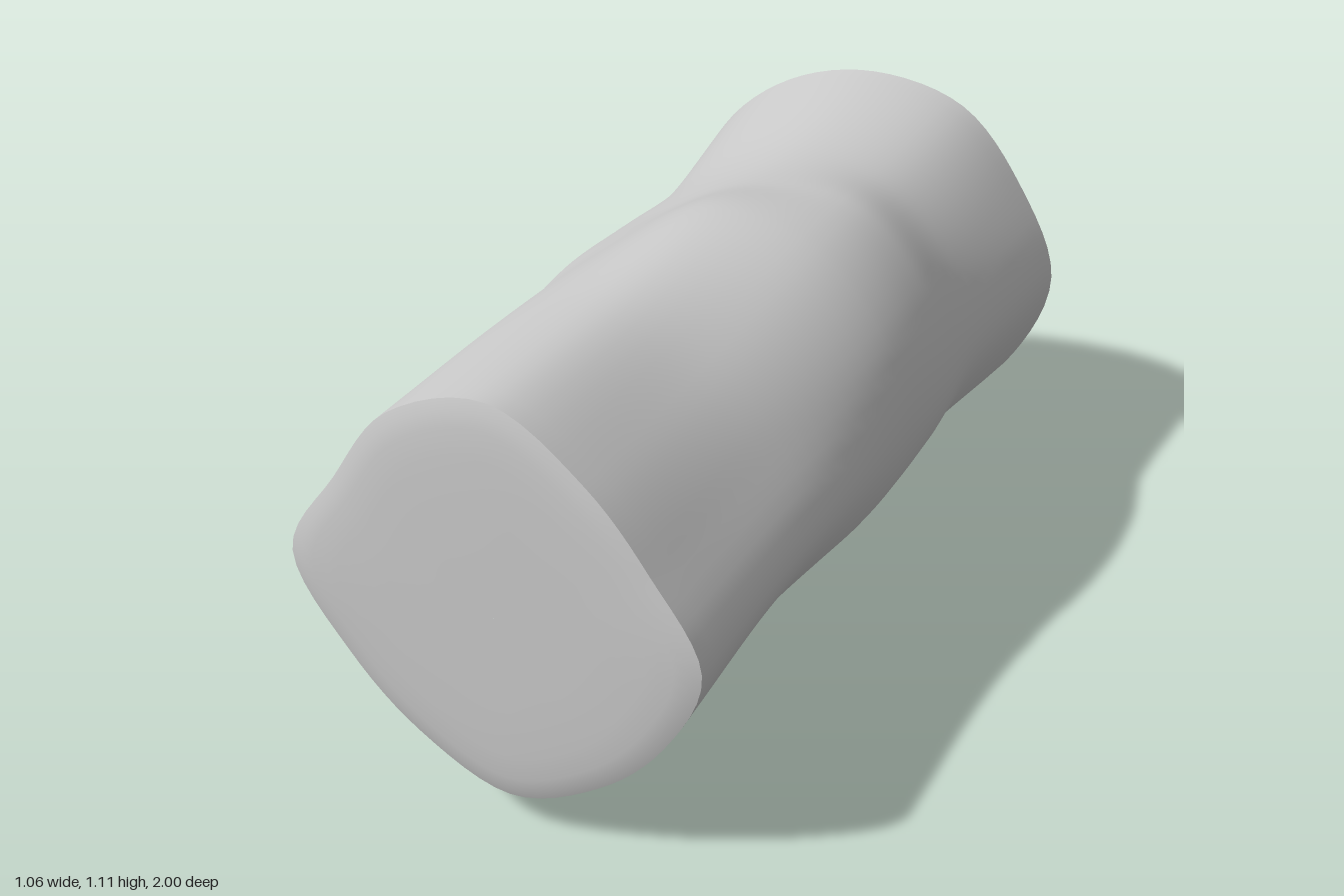
import * as THREE from 'three';

// Distance from the axis every 30 degrees (counter-clockwise from +x), per station along z
const SECTIONS = [
  [0.98, [0.47, 0.41, 0.43, 0.505, 0.485, 0.45, 0.52, 0.455, 0.45, 0.485, 0.445, 0.44]],
  [0.5, [0.47, 0.42, 0.43, 0.49, 0.48, 0.43, 0.48, 0.42, 0.45, 0.49, 0.45, 0.42]],
  [0, [0.50, 0.52, 0.535, 0.515, 0.45, 0.48, 0.53, 0.46, 0.46, 0.50, 0.45, 0.47]],
  [-0.25, [0.51, 0.52, 0.53, 0.47, 0.43, 0.47, 0.53, 0.48, 0.49, 0.54, 0.47, 0.47]],
  [-0.5, [0.495, 0.48, 0.48, 0.455, 0.43, 0.45, 0.50, 0.47, 0.48, 0.525, 0.47, 0.46]],
  [-0.98, [0.53, 0.49, 0.505, 0.49, 0.49, 0.51, 0.53, 0.48, 0.48, 0.595, 0.52, 0.51]],
];
const AXIS_Y = 0.6;
const SIDES = 72;
const STEPS = 48;

// Skin a list of closed rings, running from front to back
function loft(rings) {
  const positions = [];
  const indices = [];
  rings.forEach((ring) => ring.forEach((p) => positions.push(p.x, p.y, p.z)));
  for (let i = 0; i < rings.length - 1; i++) {
    for (let j = 0; j < SIDES; j++) {
      const k = (j + 1) % SIDES;
      const a = i * SIDES + j, d = i * SIDES + k;
      const b = a + SIDES, c = d + SIDES;
      indices.push(a, b, d, b, c, d);
    }
  }
  const geometry = new THREE.BufferGeometry();
  geometry.setAttribute('position', new THREE.Float32BufferAttribute(positions, 3));
  geometry.setIndex(indices);
  geometry.computeVertexNormals();
  return geometry;
}

// Gently domed end closing a rim ring, listed from the rim to the centre
function domeRings(rim) {
  const sign = Math.sign(rim[0].z);
  const profile = [[1, 0.98], [0.95, 0.988], [0.88, 0.994], [0.75, 0.998], [0.5, 1], [0.001, 1]];
  return profile.map(([s, z]) => rim.map((p) =>
    new THREE.Vector3(p.x * s, AXIS_Y + (p.y - AXIS_Y) * s, z * sign)));
}

export function createModel() {
  const group = new THREE.Group();
  group.name = 'wavyBlock';
  const material = new THREE.MeshStandardMaterial({ color: 0xcccccc });

  // Lengthwise guide curves, one per direction
  const guides = SECTIONS[0][1].map((_, k) => {
    const angle = (k * Math.PI) / 6;
    return new THREE.CatmullRomCurve3(SECTIONS.map(([z, radii]) => new THREE.Vector3(
      radii[k] * Math.cos(angle), AXIS_Y + radii[k] * Math.sin(angle), z)));
  });

  // Closed rings through the guides
  const rings = [];
  for (let i = 0; i <= STEPS; i++) {
    const outline = new THREE.CatmullRomCurve3(guides.map((g) => g.getPoint(i / STEPS)), true);
    rings.push(Array.from({ length: SIDES }, (_, j) => outline.getPoint(j / SIDES)));
  }

  const parts = {
    body: rings,
    frontEnd: domeRings(rings[0]).reverse(),
    backEnd: domeRings(rings[STEPS]),
  };
  for (const [name, partRings] of Object.entries(parts)) {
    const mesh = new THREE.Mesh(loft(partRings), material);
    mesh.name = name;
    group.add(mesh);
  }
  return group;
}
